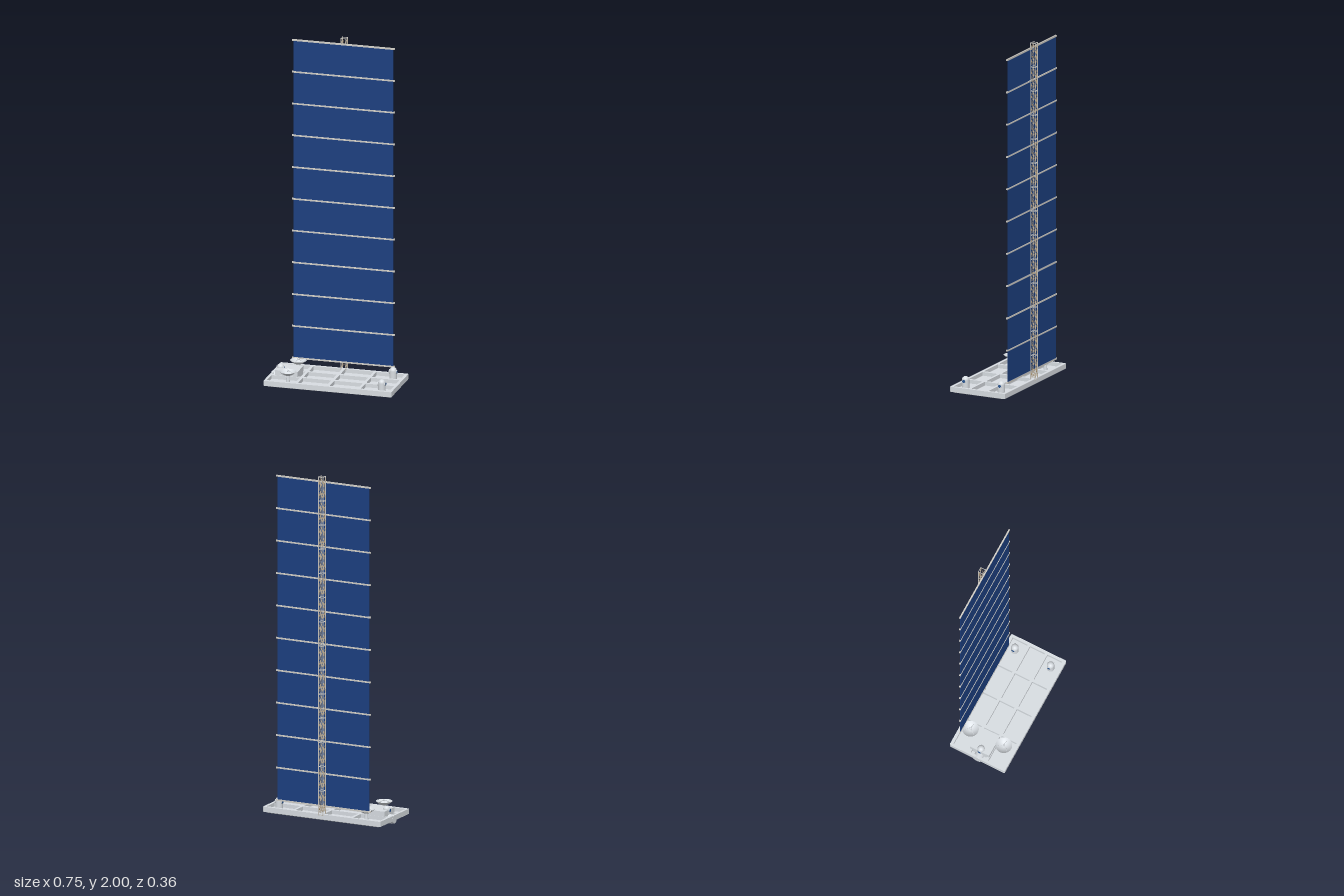
import * as THREE from 'three';
import { mergeGeometries } from 'three/addons/utils/BufferGeometryUtils.js';

const mat = (name, color, side = THREE.FrontSide) => {
  const m = new THREE.MeshStandardMaterial({ color, side });
  m.name = name;
  return m;
};

export function createModel() {
  const root = new THREE.Group();
  root.name = 'satellite';
  const grey = mat('hull grey', 0xd8dde2);
  const dishGrey = mat('dish grey', 0xd8dde2, THREE.DoubleSide);
  const metal = mat('truss metal', 0xd2cfc8);
  const tan = mat('brace tan', 0xb8a07c);
  const blue = mat('solar blue', 0x1c3f80);
  const black = mat('antenna black', 0x20262c);
  const lensBlue = mat('lens blue', 0x2a5590);

  const add = (name, geo, material, x = 0, y = 0, z = 0, parent = root) => {
    const m = new THREE.Mesh(geo, material);
    m.name = name;
    m.position.set(x, y, z);
    parent.add(m);
    return m;
  };
  const box = (w, h, d) => new THREE.BoxGeometry(w, h, d);

  // Round rod between two points
  const rod = (a, b, r, sides = 6) => {
    const p = new THREE.Vector3(...a), q = new THREE.Vector3(...b);
    const dir = q.clone().sub(p);
    const g = new THREE.CylinderGeometry(r, r, dir.length(), sides);
    g.applyQuaternion(new THREE.Quaternion().setFromUnitVectors(new THREE.Vector3(0, 1, 0), dir.normalize()));
    const c = p.add(q).multiplyScalar(0.5);
    return g.translate(c.x, c.y, c.z);
  };

  // Hull: clipped-corner tray with 4 x 3 pockets
  const ZC = 0.004, HW = 0.373, HD = 0.174, C = 0.005;
  const cellX = [-0.275, -0.0925, 0.0915, 0.2735];
  const cellZ = [-0.106, 0.0035, 0.113];
  const top = new THREE.Shape([
    [-HW + C, -HD], [HW - C, -HD], [HW, -HD + C], [HW, HD - C],
    [HW - C, HD], [-HW + C, HD], [-HW, HD - C], [-HW, -HD + C],
  ].map(([x, y]) => new THREE.Vector2(x, y)));
  for (const x of cellX) for (const z of cellZ) {
    const y = -(z - ZC), w = 0.083, h = 0.0465;
    top.holes.push(new THREE.Path([[-w, -h], [-w, h], [w, h], [w, -h]]
      .map(([dx, dy]) => new THREE.Vector2(x + dx, y + dy))));
  }
  const frame = new THREE.ExtrudeGeometry(top, { depth: 0.03, bevelEnabled: false }).rotateX(-Math.PI / 2);
  add('ribbedFrame', frame, grey, 0, 0.02, ZC);
  add('trayFloor', box(0.73, 0.008, 0.332), grey, 0, 0.0245, ZC);

  // Tapered underside
  const under = box(0.73, 0.009, 0.332);
  const up = under.attributes.position;
  for (let i = 0; i < up.count; i++) {
    if (up.getY(i) < 0) up.setXYZ(i, up.getX(i) * 0.955, up.getY(i), up.getZ(i) * 0.91);
  }
  under.computeVertexNormals();
  add('underside', under, grey, 0, 0.0155, ZC);
  for (let i = 0; i < 4; i++) {
    add('antennaTile', box(0.164, 0.003, 0.285), black, -0.258 + i * 0.172, 0.0105, ZC);
  }

  // Equipment box and side thruster
  add('equipmentBox', box(0.133, 0.053, 0.121), grey, -0.2735, 0.0535, 0.0025);
  const barrel = (r, len) => new THREE.CylinderGeometry(r, r, len, 24).rotateZ(Math.PI / 2);
  add('thrusterBody', barrel(0.027, 0.022), grey, -0.347, 0.027, 0.003);
  add('thrusterNozzle', barrel(0.0245, 0.017), grey, -0.3655, 0.028, 0.003);

  // Domed sensors with side lenses
  for (const [x, z, y0] of [[0.3, -0.11, 0.028], [0.3, 0.116, 0.028], [-0.323, 0.003, 0.05]]) {
    const g = new THREE.Group();
    g.name = 'sensor';
    g.position.set(x, 0, z);
    root.add(g);
    const h = 0.08 - y0;
    add('sensorPost', new THREE.CylinderGeometry(0.021, 0.021, h, 24), grey, 0, y0 + h / 2, 0, g);
    add('sensorDome', new THREE.SphereGeometry(0.021, 24, 8, 0, Math.PI * 2, 0, Math.PI / 2), grey, 0, 0.08, 0, g);
    for (const s of [-1, 1]) {
      add('lensRing', barrel(0.012, 0.012), grey, s * 0.0165, 0.075, 0, g);
      add('lens', barrel(0.009, 0.002), lensBlue, s * 0.0225, 0.075, 0, g);
    }
  }

  // Dish antennas
  const dishProfile = [];
  for (let i = 0; i <= 8; i++) {
    const r = 0.047 * i / 8;
    dishProfile.push(new THREE.Vector2(r, 0.07 + 0.025 * (i / 8) ** 2));
  }
  for (const z of [-0.102, 0.109]) {
    const g = new THREE.Group();
    g.name = 'dishAntenna';
    g.position.set(-0.25, 0, z);
    root.add(g);
    add('dishPost', new THREE.CylinderGeometry(0.008, 0.012, 0.044, 16), grey, 0, 0.049, 0, g);
    add('dish', new THREE.LatheGeometry(dishProfile, 36), dishGrey, 0, 0, 0, g);
    const struts = [0, 1, 2].map((i) => {
      const a = i * Math.PI * 2 / 3, c = Math.cos(a), s = Math.sin(a);
      return rod([0.034 * c, 0.083, 0.034 * s], [0.004 * c, 0.1, 0.004 * s], 0.0013);
    });
    add('feedStruts', mergeGeometries(struts), grey, 0, 0, 0, g);
    add('feed', new THREE.SphereGeometry(0.006, 12, 8), grey, 0, 0.1, 0, g);
  }

  // Square lattice mast
  const posts = [], braces = [], W = 0.0145, ZM = -0.1612, Y0 = 0.045, Y1 = 2, BAYS = 14;
  const corner = (i, y) => {
    const [x, z] = [[-1, -1], [1, -1], [1, 1], [-1, 1]][i % 4];
    return [x * W, y, ZM + z * W];
  };
  const pitch = (Y1 - 0.002 - Y0) / BAYS;
  for (let i = 0; i < 4; i++) {
    posts.push(rod(corner(i, Y0), corner(i, Y1), 0.0026, 8));
    for (let b = 0; b <= BAYS; b++) {
      const y = Y0 + b * pitch;
      posts.push(rod(corner(i, y), corner(i + 1, y), 0.0018));
      if (b === BAYS) continue;
      braces.push(rod(corner(i, y), corner(i + 1, y + pitch), 0.0012, 5));
      braces.push(rod(corner(i + 1, y), corner(i, y + pitch), 0.0012, 5));
    }
  }
  add('mastPosts', mergeGeometries(posts), metal);
  add('mastBraces', mergeGeometries(braces), tan);

  // Solar blanket: ten panels between crossbars
  const step = 0.1873, base = 0.0925, ZP = -0.1445;
  for (let i = 0; i <= 10; i++) {
    const y = base + i * step;
    add('crossbar', box(0.6, 0.009, 0.008), metal, 0, y, ZP);
    if (i < 10) add('solarPanel', box(0.582, step - 0.009, 0.003), blue, 0, y + step / 2, ZP);
  }
  return root;
}
